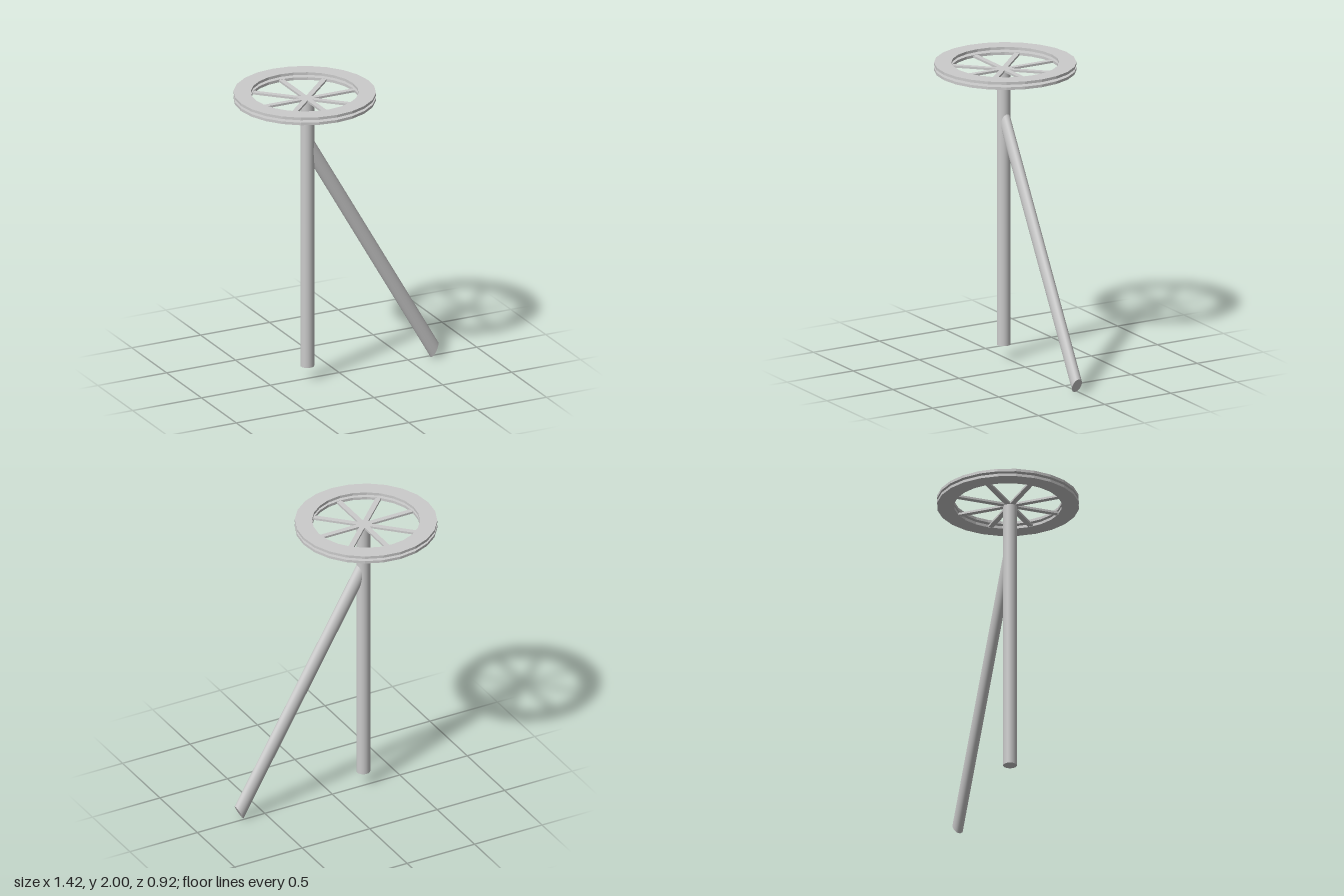
import * as THREE from 'three';

const SIDES = 24;
const POST = { x: -0.24, z: 0.018, r: 0.045 };

function material(options = {}) {
  return new THREE.MeshStandardMaterial({ color: 0xcccccc, ...options });
}

function addMesh(parent, name, geometry, mat) {
  const mesh = new THREE.Mesh(geometry, mat);
  mesh.name = name;
  parent.add(mesh);
  return mesh;
}

// Flat ring with straight polygon sides, from a rectangular profile
function ringGeometry(inner, outer, height) {
  const profile = [[inner, 0], [outer, 0], [outer, height], [inner, height], [inner, 0]]
    .map(([r, y]) => new THREE.Vector2(r, y));
  return new THREE.LatheGeometry(profile, SIDES);
}

// Oval bar running down at an angle, with a slanted cut at each end
function braceGeometry() {
  const foot = new THREE.Vector2(0.681, 0.052);
  const dir = new THREE.Vector2(-0.5, 0.866);
  const across = new THREE.Vector2(0.866, 0.5);
  const halfWidth = 0.047, halfDepth = 0.035, topX = -0.225;
  const geometry = new THREE.CylinderGeometry(1, 1, 1, SIDES);
  const p = geometry.attributes.position;
  for (let i = 0; i < p.count; i++) {
    const u = p.getX(i) * halfWidth;
    const along = p.getY(i) > 0
      ? (topX - foot.x - u * across.x) / dir.x // upright cut inside the post
      : u * 0.63; // slanted cut at the foot
    p.setXYZ(i,
      foot.x + u * across.x + along * dir.x,
      foot.y + u * across.y + along * dir.y,
      POST.z + p.getZ(i) * halfDepth);
  }
  geometry.computeVertexNormals();
  // Smooth the side seam: the first and last column share a normal
  const n = geometry.attributes.normal;
  for (const row of [0, SIDES + 1]) {
    const a = new THREE.Vector3().fromBufferAttribute(n, row);
    const b = new THREE.Vector3().fromBufferAttribute(n, row + SIDES);
    a.add(b).normalize();
    n.setXYZ(row, a.x, a.y, a.z);
    n.setXYZ(row + SIDES, a.x, a.y, a.z);
  }
  return geometry;
}

export function createModel() {
  const model = new THREE.Group();
  const smooth = material();
  const flat = material({ flatShading: true });

  // Upright post
  const bottom = 0.1, top = 1.95;
  addMesh(model, 'post', new THREE.CylinderGeometry(POST.r, POST.r, top - bottom, SIDES), smooth)
    .position.set(POST.x, (top + bottom) / 2, POST.z);

  // Slanted brace
  addMesh(model, 'brace', braceGeometry(), smooth);

  // Wheel: two separate rings, the lower one carrying the spokes
  const wheel = new THREE.Group();
  wheel.name = 'wheel';
  model.add(wheel);
  const ring = ringGeometry(0.35, 0.462, 0.018);
  addMesh(wheel, 'lowerRing', ring, flat).position.set(-0.25, 1.947, 0);
  addMesh(wheel, 'upperRing', ring, flat).position.set(-0.25, 1.982, 0);

  // Four crossing bars form eight spokes
  const bar = new THREE.BoxGeometry(0.75, 0.014, 0.035);
  for (let i = 0; i < 4; i++) {
    const spoke = addMesh(wheel, 'spoke', bar, flat);
    spoke.position.set(-0.243, 1.956, POST.z);
    spoke.rotation.y = i * Math.PI / 4;
  }
  return model;
}
